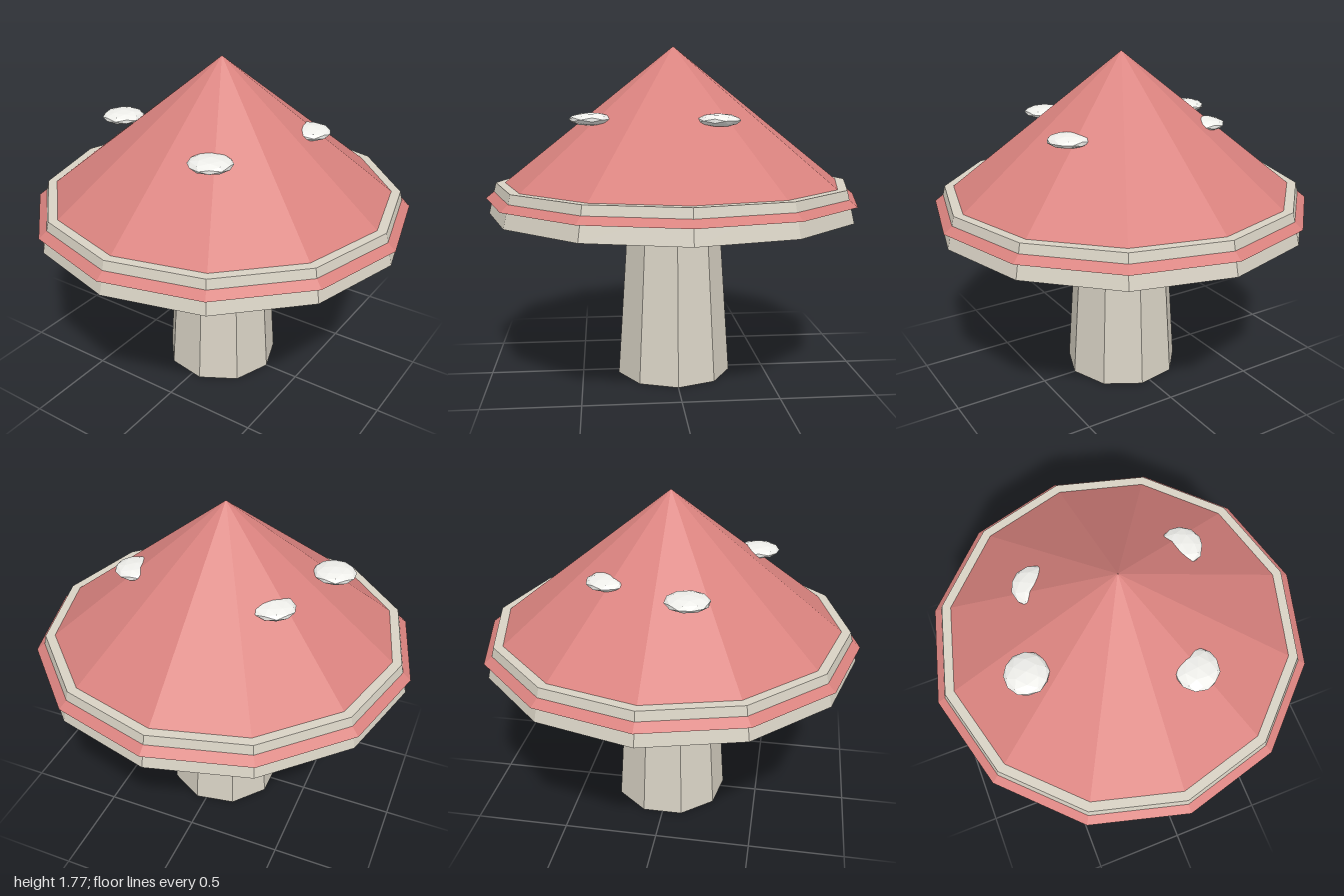
import * as THREE from 'three';

export function createModel() {
  const group = new THREE.Group();
  group.name = 'mushroom';

  const mat = (color) => new THREE.MeshStandardMaterial({ color, flatShading: true });
  const cream = mat(0xd8d2c4);
  const red = mat(0xd9827e);
  const white = mat(0xeeeeea);

  const add = (name, geometry, material, x, y, z) => {
    const mesh = new THREE.Mesh(geometry, material);
    mesh.name = name;
    mesh.position.set(x, y, z);
    group.add(mesh);
    return mesh;
  };

  // Tapered nine-sided stem with one corner on +x
  const stem = add('stem', new THREE.CylinderGeometry(0.248, 0.31, 0.92, 9), cream, 0, 0.46, 0);
  stem.rotation.y = Math.PI / 2;

  // Twelve-sided cap, its edge poking out through the rim
  add('cap', new THREE.ConeGeometry(1, 0.795, 12), red, 0, 0.975 + 0.795 / 2, 0);
  add('rim', new THREE.CylinderGeometry(0.945, 0.985, 0.164, 12), cream, 0, 0.975, 0);

  // Flattened spots, half sunk into the cap: x, z, turn
  const spotGeometry = new THREE.IcosahedronGeometry(0.11, 1).scale(1, 0.3, 1);
  const spots = [
    [-0.523, 0.163, 0.3],
    [0.23, 0.435, 1.1],
    [0.41, -0.185, 0.7],
    [-0.345, -0.25, 0.5],
  ];
  spots.forEach(([x, z, turn], i) => {
    add(`spot${i + 1}`, spotGeometry, white, x, 1.4, z).rotation.y = turn;
  });

  return group;
}
